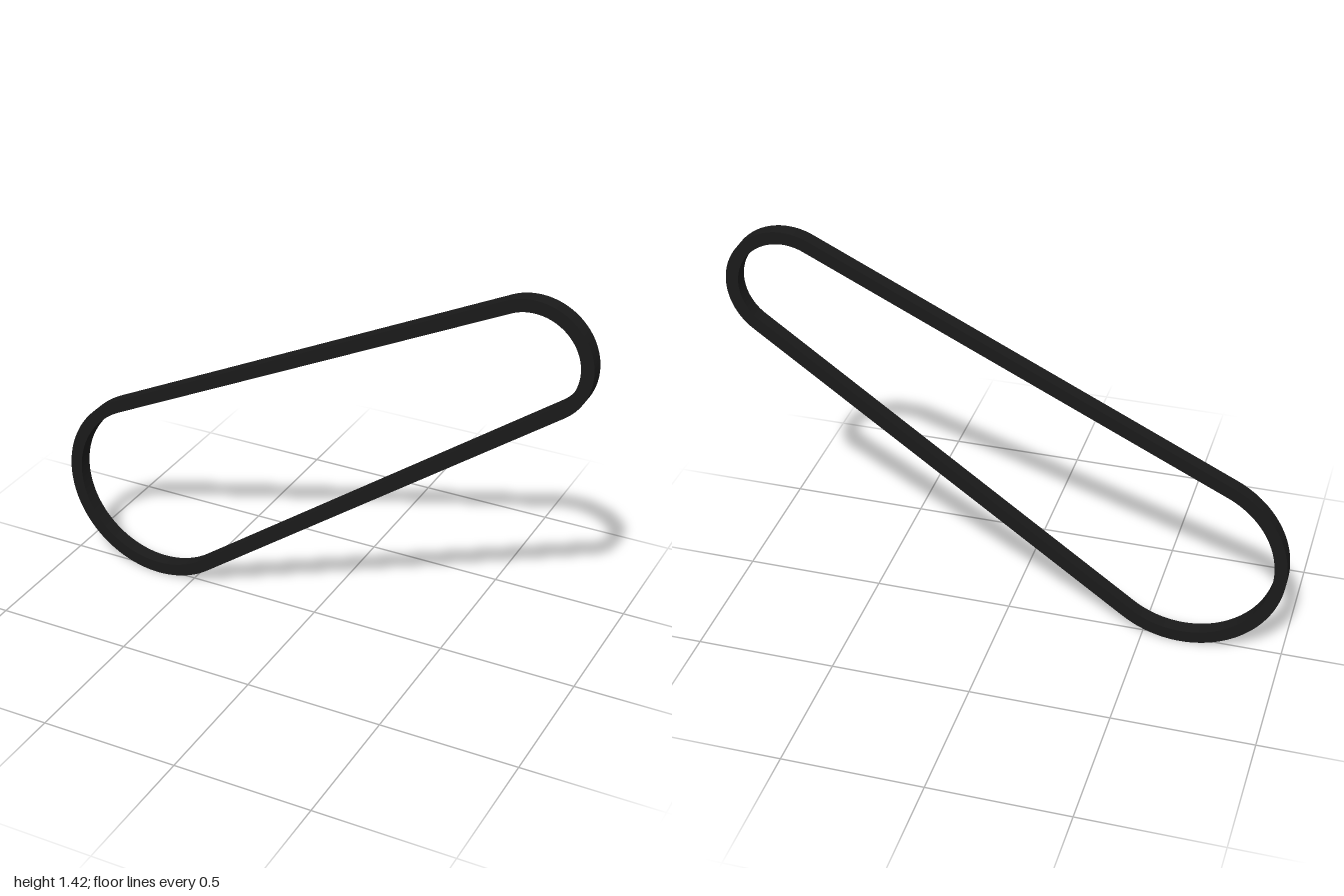
import * as THREE from 'three';
import { toCreasedNormals } from 'three/addons/utils/BufferGeometryUtils.js';

const BIG = { x: -0.64, y: 0.36, r: 0.36 };
const SMALL = { x: 0.785, y: 1.21, r: 0.215 };
const THICKNESS = 0.045;
const WIDTH = 0.053;

// Traces a taut loop round both pulley circles, shrunk by an inset
function traceLoop(path, inset) {
  const dx = SMALL.x - BIG.x, dy = SMALL.y - BIG.y;
  const axis = Math.atan2(dy, dx);
  const spread = Math.acos((BIG.r - SMALL.r) / Math.hypot(dx, dy));
  path.absarc(BIG.x, BIG.y, BIG.r - inset, axis + spread, axis - spread + Math.PI * 2, false);
  path.absarc(SMALL.x, SMALL.y, SMALL.r - inset, axis - spread, axis + spread, false);
  path.closePath();
  return path;
}

export function createModel() {
  const group = new THREE.Group();
  group.name = 'driveBelt';

  // Flat-sided belt band: outer loop with the inner loop cut out
  const shape = traceLoop(new THREE.Shape(), 0);
  shape.holes.push(traceLoop(new THREE.Path(), THICKNESS));
  const geometry = new THREE.ExtrudeGeometry(shape, {
    depth: WIDTH, bevelEnabled: false, curveSegments: 40,
  });
  geometry.translate(0, 0, -WIDTH / 2);

  const belt = new THREE.Mesh(
    toCreasedNormals(geometry, Math.PI / 6),
    new THREE.MeshStandardMaterial({ color: 0x1a1a1a }),
  );
  belt.name = 'belt';
  group.add(belt);
  return group;
}
